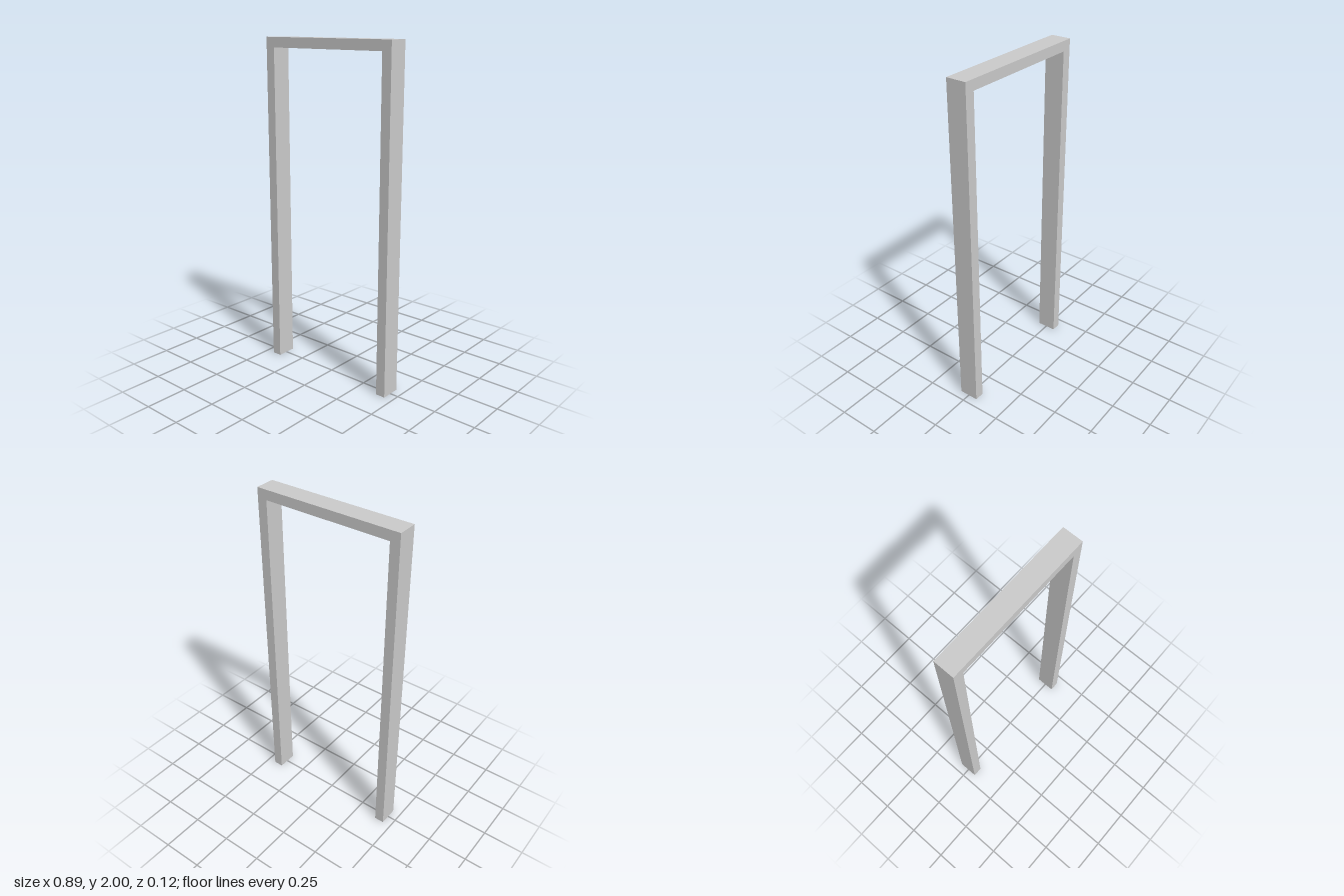
import * as THREE from 'three';

export function createModel() {
  const group = new THREE.Group();
  const halfWidth = 0.447, height = 2, board = 0.059, depth = 0.119;
  const inner = halfWidth - board, underside = height - board;

  // Door frame: two jambs and a head, one continuous outline open at the floor
  const outline = new THREE.Shape([
    [-halfWidth, 0], [-inner, 0], [-inner, underside], [inner, underside],
    [inner, 0], [halfWidth, 0], [halfWidth, height], [-halfWidth, height],
  ].map(([x, y]) => new THREE.Vector2(x, y)));

  const geometry = new THREE.ExtrudeGeometry(outline, { depth, bevelEnabled: false });
  geometry.translate(0, 0, -depth / 2);

  const frame = new THREE.Mesh(
    geometry,
    new THREE.MeshStandardMaterial({ color: 0xcccccc, flatShading: true }),
  );
  frame.name = 'doorFrame';
  group.add(frame);
  return group;
}
